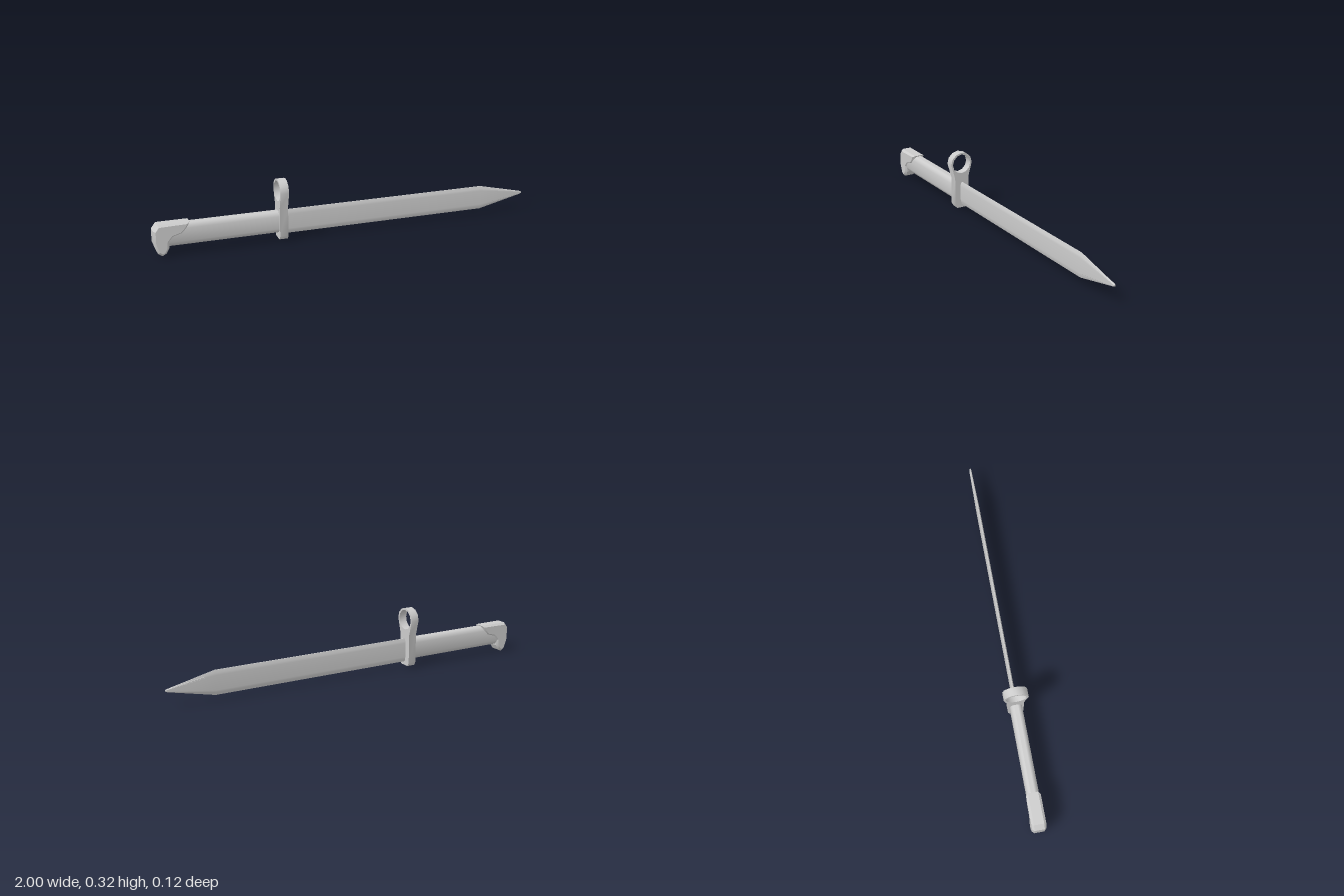
import * as THREE from 'three';
import { toCreasedNormals } from 'three/addons/utils/BufferGeometryUtils.js';

const material = new THREE.MeshStandardMaterial({ color: 0xcccccc });

function addPart(group, name, geometry, crease = 0.6) {
  const mesh = new THREE.Mesh(toCreasedNormals(geometry, crease), material);
  mesh.name = name;
  group.add(mesh);
  return mesh;
}

// Closed ring from one side's [y, halfWidth] points, listed bottom to top
function ring(half) {
  return [
    ...half.map(([y, w]) => [y, -w]),
    ...half.slice().reverse().map(([y, w]) => [y, w]),
  ];
}

// Skin between cross-sections { x, pts: [y, z] } along x, with end caps
function loft(sections) {
  const n = sections[0].pts.length;
  const last = (sections.length - 1) * n;
  const positions = sections.flatMap(({ x, pts }) => pts.flatMap(([y, z]) => [x, y, z]));
  const index = [];
  for (let i = 0; i < sections.length - 1; i++) {
    for (let j = 0; j < n; j++) {
      const a = i * n + j, b = i * n + (j + 1) % n;
      index.push(a, b, b + n, a, b + n, a + n);
    }
  }
  for (let j = 1; j < n - 1; j++) {
    index.push(0, j + 1, j, last, last + j, last + j + 1);
  }
  const geometry = new THREE.BufferGeometry();
  geometry.setAttribute('position', new THREE.Float32BufferAttribute(positions, 3));
  geometry.setIndex(index);
  return geometry.toNonIndexed();
}

const shapeFrom = (pts) => new THREE.Shape(pts.map(([x, y]) => new THREE.Vector2(x, y)));

export function createModel() {
  const group = new THREE.Group();

  // Blade: thin flat section with bevelled edges, tapering to a blunt tip
  const bladeHalf = [[-1, 0.002], [-0.76, 0.007], [-0.6, 0.008], [0.6, 0.008], [0.76, 0.007], [1, 0.002]];
  const bladeSection = (x, low, high, thick) => ({
    x,
    pts: ring(bladeHalf.map(([t, w]) => [(low + high) / 2 + t * (high - low) / 2, w * thick])),
  });
  addPart(group, 'blade', loft([
    bladeSection(-0.36, 0.03, 0.154, 1),
    bladeSection(0.75, 0.03, 0.154, 1),
    bladeSection(0.99, 0.084, 0.1, 0.7),
    bladeSection(1, 0.088, 0.096, 0.5),
  ]), 0.3);

  // Grip: flat sides, rounded top and bottom
  const gripPts = ring([
    [0.042, 0.01], [0.046, 0.018], [0.054, 0.025], [0.066, 0.03],
    [0.13, 0.03], [0.142, 0.026], [0.151, 0.019], [0.155, 0.01],
  ]);
  addPart(group, 'grip', loft([{ x: -0.96, pts: gripPts }, { x: -0.36, pts: gripPts }]), 0.7);

  // Pommel: hooked plate with bevelled rim
  const pommel = new THREE.ExtrudeGeometry(shapeFrom([
    [-0.96, 0], [-0.94, 0.011], [-0.926, 0.036], [-0.924, 0.066], [-0.905, 0.09],
    [-0.86, 0.103], [-0.838, 0.125], [-0.822, 0.16], [-0.978, 0.16],
    [-1, 0.13], [-1, 0.065], [-0.982, 0.015],
  ]), {
    depth: 0.05, bevelEnabled: true, bevelThickness: 0.011,
    bevelSize: 0.011, bevelOffset: -0.011, bevelSegments: 1,
  });
  pommel.translate(0, 0, -0.025);
  addPart(group, 'pommel', pommel, 0.4);

  // Crossguard with the barrel ring on top
  const side = [[0.028, 0.01], [0.04, 0.03], [0.04, 0.178], [0.062, 0.256], [0.054, 0.287], [0.031, 0.309]];
  const outline = shapeFrom([...side, [0, 0.317], ...side.slice().reverse().map(([z, y]) => [-z, y])]);
  const hole = [];
  for (let i = 0; i < 12; i++) {
    const a = -i * Math.PI / 6;
    hole.push(new THREE.Vector2(Math.sin(a) * 0.052, 0.255 + Math.cos(a) * 0.052));
  }
  outline.holes.push(new THREE.Path(hole));
  const guard = new THREE.ExtrudeGeometry(outline, { depth: 0.043, bevelEnabled: false });
  guard.rotateY(Math.PI / 2);
  guard.translate(-0.375, 0, 0);
  addPart(group, 'crossguard', guard, 0.6);

  return group;
}
